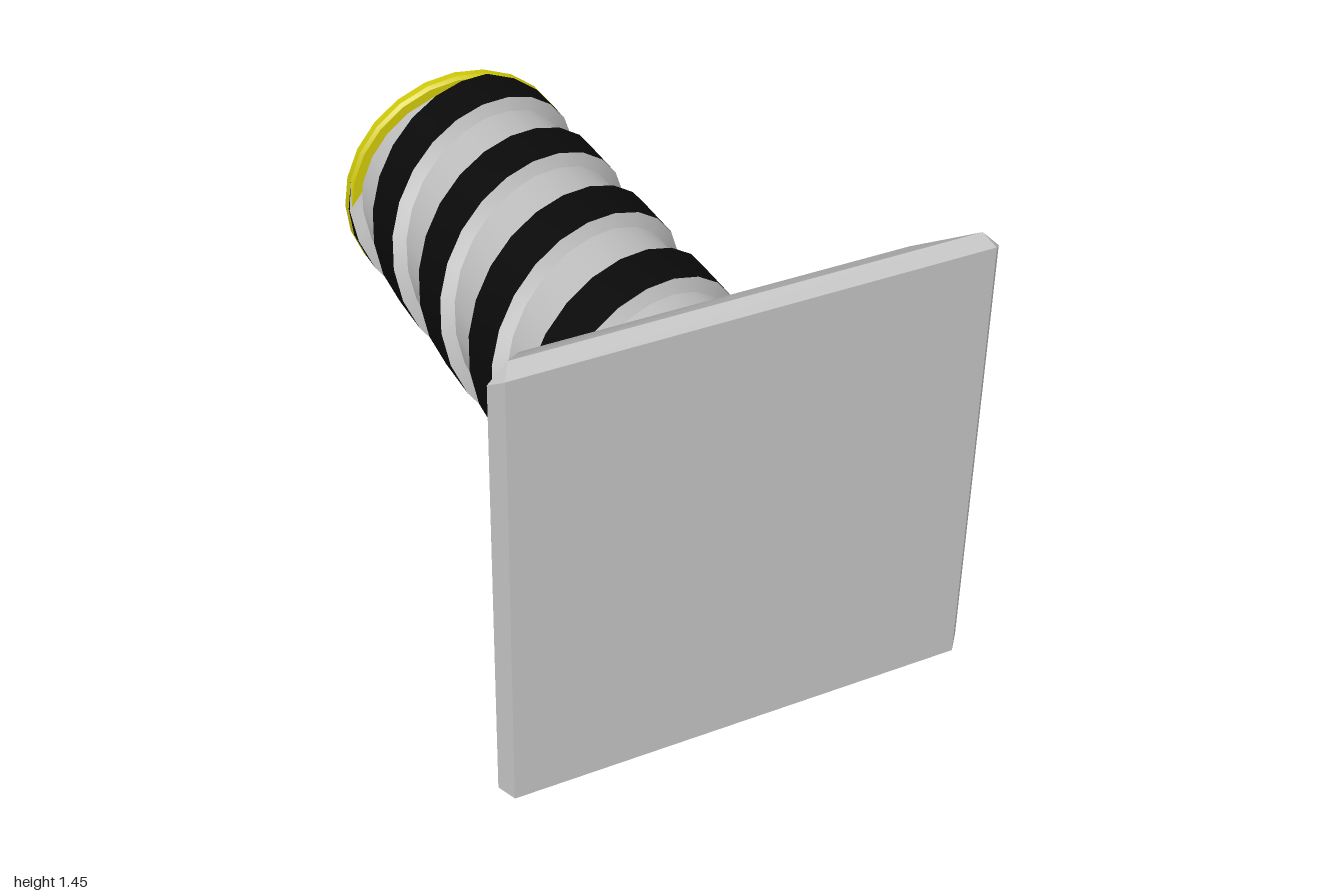
import * as THREE from 'three';
import { toCreasedNormals } from 'three/addons/utils/BufferGeometryUtils.js';

const CY = 0.727; // height of the barrel axis
const mat = (name, color) => {
  const m = new THREE.MeshStandardMaterial({ color });
  m.name = name;
  return m;
};

// Square with cut corners, counter-clockwise seen from +z
function section(z, h, c) {
  const pts = [];
  for (const [sx, sy, swap] of [[1, 1, 0], [-1, 1, 1], [-1, -1, 0], [1, -1, 1]]) {
    const a = [sx * h, sy * (h - c), z], b = [sx * (h - c), sy * h, z];
    pts.push(...(swap ? [b, a] : [a, b]));
  }
  return pts;
}

// Joins sections running from front to back, with optional end caps
function loft(sections, capFront, capBack) {
  const n = 8, index = [], last = (sections.length - 1) * n;
  for (let s = 0; s < sections.length - 1; s++) {
    for (let i = 0; i < n; i++) {
      const a = s * n + i, b = s * n + (i + 1) % n;
      index.push(a, a + n, b, b, a + n, b + n);
    }
  }
  for (let i = 1; i < n - 1; i++) {
    if (capFront) index.push(0, i, i + 1);
    if (capBack) index.push(last, last + i + 1, last + i);
  }
  const g = new THREE.BufferGeometry();
  g.setAttribute('position', new THREE.Float32BufferAttribute(sections.flat(2), 3));
  g.setIndex(index);
  return g;
}

// Turned part along z from [radius, z] points
function turned(points, sides) {
  const g = new THREE.LatheGeometry(points.map(([r, z]) => new THREE.Vector2(r, z)), sides);
  g.rotateX(Math.PI / 2);
  g.deleteAttribute('normal');
  g.deleteAttribute('uv');
  return toCreasedNormals(g, 0.6);
}

// Spiral strip between edges a and b, each [radius, z offset]
const LEAD = 0.757, Z_MIN = -0.96, Z_MAX = 0.8;
function spiralStrip(a, b, zStart) {
  const perTurn = 24, steps = perTurn * 3, pos = [], index = [];
  for (let i = 0; i <= steps; i++) {
    const t = i / perTurn, ang = t * Math.PI * 2;
    for (const [r, dz] of [a, b]) {
      const z = THREE.MathUtils.clamp(zStart + LEAD * t + dz, Z_MIN, Z_MAX);
      pos.push(r * Math.cos(ang), r * Math.sin(ang), z);
    }
  }
  for (let i = 0; i < steps; i++) {
    const k = i * 2;
    const zs = [k, k + 1, k + 2, k + 3].map((v) => pos[v * 3 + 2]);
    if (Math.max(...zs) - Math.min(...zs) < 1e-6) continue;
    index.push(k, k + 2, k + 1, k + 1, k + 2, k + 3);
  }
  const g = new THREE.BufferGeometry();
  g.setAttribute('position', new THREE.Float32BufferAttribute(pos, 3));
  g.setIndex(index);
  g.computeVertexNormals();
  return g;
}

export function createModel() {
  const gray = mat('metalGray', 0xbfbfbf);
  const black = mat('spiralBlack', 0x0a0a0a);
  const yellow = mat('rimYellow', 0xcfc80a);
  const model = new THREE.Group();
  const add = (name, geometry, material, parent = model) => {
    const m = new THREE.Mesh(geometry, material);
    m.name = name;
    parent.add(m);
    return m;
  };

  // Square mounting plate: flat front with bevel, softly tapered back
  const plate = new THREE.Group();
  plate.name = 'mountingPlate';
  model.add(plate);
  const widest = section(0.963, 0.727, 0.055);
  const front = loft([section(1, 0.695, 0.001), widest], true, false).toNonIndexed();
  front.computeVertexNormals();
  add('plateFront', front, gray, plate);
  const back = loft([widest, section(0.79, 0.612, 0.045), section(0.77, 0.565, 0.003)], false, true);
  back.computeVertexNormals();
  add('plateBack', back, gray, plate);

  // Hollow barrel
  add('barrel', turned([[0.295, 0.78], [0.295, -0.955], [0.35, -0.955], [0.35, 0.78]], 24), gray);

  // Rim at the open end
  add('rim', turned([
    [0.345, -0.95], [0.29, -0.95], [0.29, -1], [0.38, -1], [0.389, -0.988],
    [0.389, -0.962], [0.38, -0.95], [0.345, -0.95],
  ], 24), yellow);

  // Two interleaved raised spirals with a dark crest and gray flanks
  const profile = [[0.34, -0.11], [0.388, -0.083], [0.388, 0.083], [0.34, 0.11]];
  for (let s = 0; s < 2; s++) {
    const spiral = new THREE.Group();
    spiral.name = 'spiral' + (s + 1);
    model.add(spiral);
    const z0 = -0.655 - LEAD * (1 - s / 2);
    ['rearFlank', 'crest', 'frontFlank'].forEach((name, i) =>
      add(name, spiralStrip(profile[i], profile[i + 1], z0), i === 1 ? black : gray, spiral));
  }

  for (const part of model.children) part.position.y = CY;
  return model;
}
